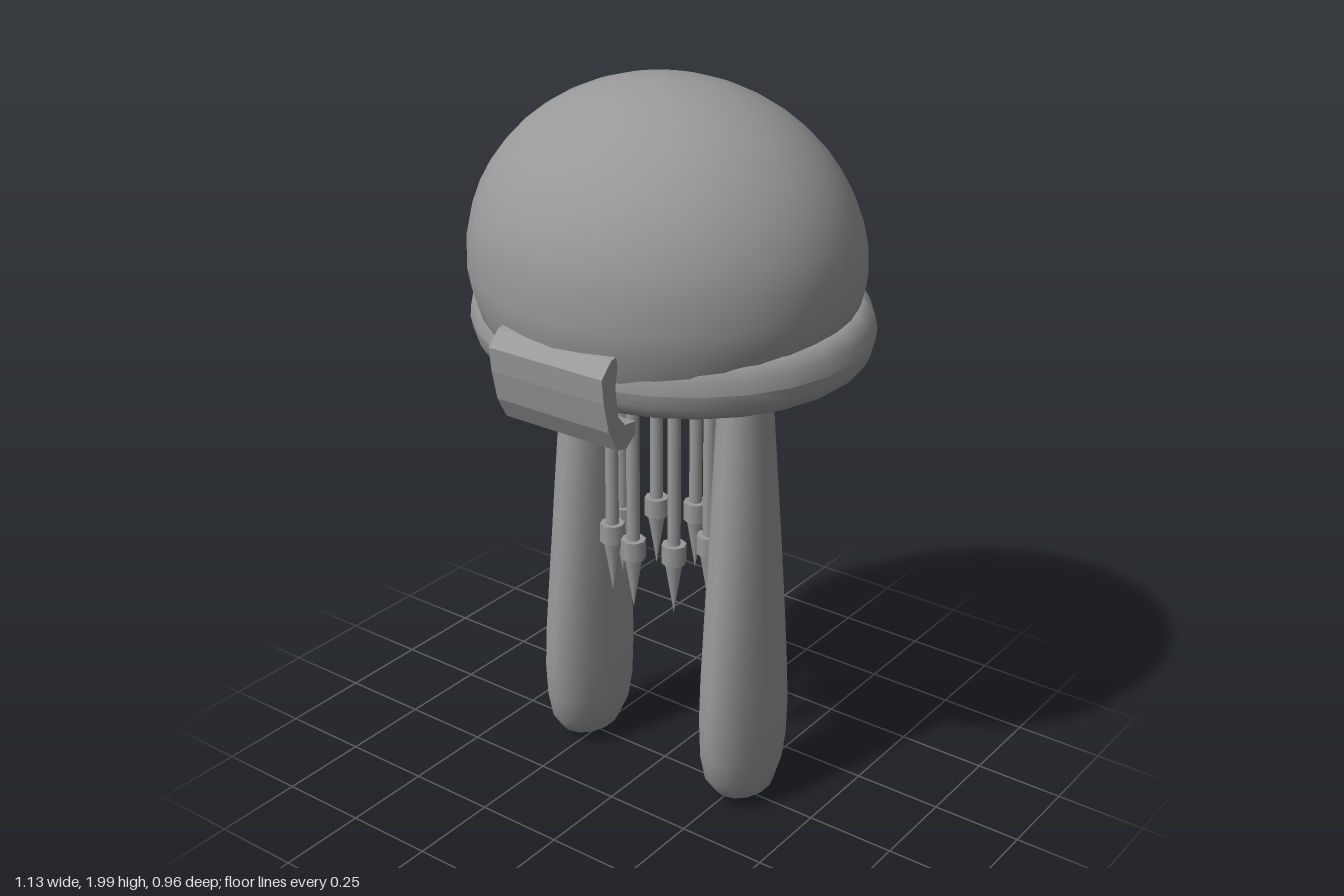
import * as THREE from 'three';

const grey = new THREE.MeshStandardMaterial({ color: 0x999999 });
grey.name = 'grey';

function add(parent, name, geometry) {
  const mesh = new THREE.Mesh(geometry, grey);
  mesh.name = name;
  parent.add(mesh);
  return mesh;
}

// Smooth skin over elliptical sections [y, centre x, half width, half depth], listed bottom to top
function loft(sections, sides) {
  const pos = [], idx = [];
  for (const [y, cx, hx, hz] of sections)
    for (let i = 0; i < sides; i++) {
      const a = (i / sides) * Math.PI * 2;
      pos.push(cx + hx * Math.sin(a), y, hz * Math.cos(a));
    }
  for (let r = 0; r < sections.length - 1; r++)
    for (let i = 0; i < sides; i++) {
      const a = r * sides + i, b = r * sides + (i + 1) % sides;
      idx.push(a, b, b + sides, a, b + sides, a + sides);
    }
  const g = new THREE.BufferGeometry();
  g.setAttribute('position', new THREE.Float32BufferAttribute(pos, 3));
  g.setIndex(idx);
  g.computeVertexNormals();
  return g;
}

export function createModel() {
  const model = new THREE.Group();
  const tilt = 0.077;

  // Dome: ellipsoid tucked in at the base, whose lower rim follows the tilted band
  const rows = [[1.36, 0.9], [1.41, 0.945], [1.46, 0.978], [1.51, 0.997]]
    .map(([y, r]) => [y, 0, 0.537 * r, 0.47 * r]);
  for (let i = 1; i <= 12; i++) {
    const a = (i / 12) * Math.PI / 2, r = Math.max(Math.cos(a), 0.0005);
    rows.push([1.53 + 0.47 * Math.sin(a), 0, 0.537 * r, 0.47 * r]);
  }
  const dome = loft(rows, 36);
  const p = dome.attributes.position;
  for (let i = 0; i < p.count; i++) {
    const fade = THREE.MathUtils.clamp((1.58 - p.getY(i)) / 0.2, 0, 1);
    p.setY(i, p.getY(i) - tilt * p.getZ(i) * fade);
  }
  dome.computeVertexNormals();
  add(model, 'dome', dome);

  // Tilted rounded band and the flat underside inside it
  const rim = new THREE.Group();
  rim.name = 'rim';
  rim.position.set(0, 1.37, -0.02);
  rim.rotation.x = tilt;
  model.add(rim);
  const section = [];
  for (let i = 0; i <= 14; i++) {
    const a = (i / 14) * Math.PI * 2;
    section.push(new THREE.Vector2(0.512 + 0.052 * Math.cos(a), 0.077 * Math.sin(a)));
  }
  add(rim, 'band', new THREE.LatheGeometry(section, 28)).scale.z = 0.806;
  const underside = add(rim, 'underside', new THREE.CircleGeometry(0.5, 28).rotateX(Math.PI / 2));
  underside.scale.z = 0.806;
  underside.position.y = -0.02;

  // Curved front plate, drawn in (z, y) and extruded across x
  const profile = [[0.42, 1.44], [0.45, 1.433], [0.487, 1.395], [0.48, 1.33], [0.462, 1.25],
    [0.43, 1.192], [0.395, 1.185], [0.36, 1.21], [0.357, 1.245], [0.4, 1.25], [0.425, 1.28], [0.435, 1.36]];
  const plate = new THREE.ExtrudeGeometry(
    new THREE.Shape(profile.map(([z, y]) => new THREE.Vector2(z, y))),
    { depth: 0.354, bevelEnabled: false });
  plate.rotateY(-Math.PI / 2).translate(0.177, 0, 0);
  add(model, 'frontPlate', plate);

  // Two long legs, deep at the foot and flared where they join the underside
  const leg = [[0.012, 0.275, 0.001, 0.001], [0.017, 0.275, 0.04, 0.05], [0.045, 0.275, 0.075, 0.1],
    [0.1, 0.271, 0.09, 0.14], [0.18, 0.27, 0.097, 0.16], [0.28, 0.27, 0.097, 0.167],
    [0.4, 0.269, 0.094, 0.162], [0.6, 0.267, 0.088, 0.143], [0.8, 0.264, 0.082, 0.122],
    [1.0, 0.26, 0.075, 0.102], [1.2, 0.256, 0.067, 0.084], [1.29, 0.255, 0.067, 0.08],
    [1.33, 0.255, 0.085, 0.098], [1.36, 0.255, 0.13, 0.14]];
  for (const side of [1, -1])
    add(model, side > 0 ? 'leftLeg' : 'rightLeg',
      loft(leg.map(([y, cx, hx, hz]) => [y, side * cx, hx, hz]), 14));

  // Ring of eight hanging rods with collars and pointed tips
  for (let i = 0; i < 8; i++) {
    const a = (i / 8) * Math.PI * 2;
    const rod = new THREE.Group();
    rod.name = 'hangingRod';
    rod.position.set(0.147 * Math.sin(a), 0, 0.141 * Math.cos(a));
    model.add(rod);
    add(rod, 'shaft', new THREE.CylinderGeometry(0.018, 0.018, 0.61, 8)).position.y = 1.065;
    add(rod, 'collar', new THREE.CylinderGeometry(0.034, 0.034, 0.055, 8)).position.y = 0.75;
    add(rod, 'tip', new THREE.ConeGeometry(0.025, 0.155, 8).rotateX(Math.PI)).position.y = 0.647;
  }
  return model;
}
